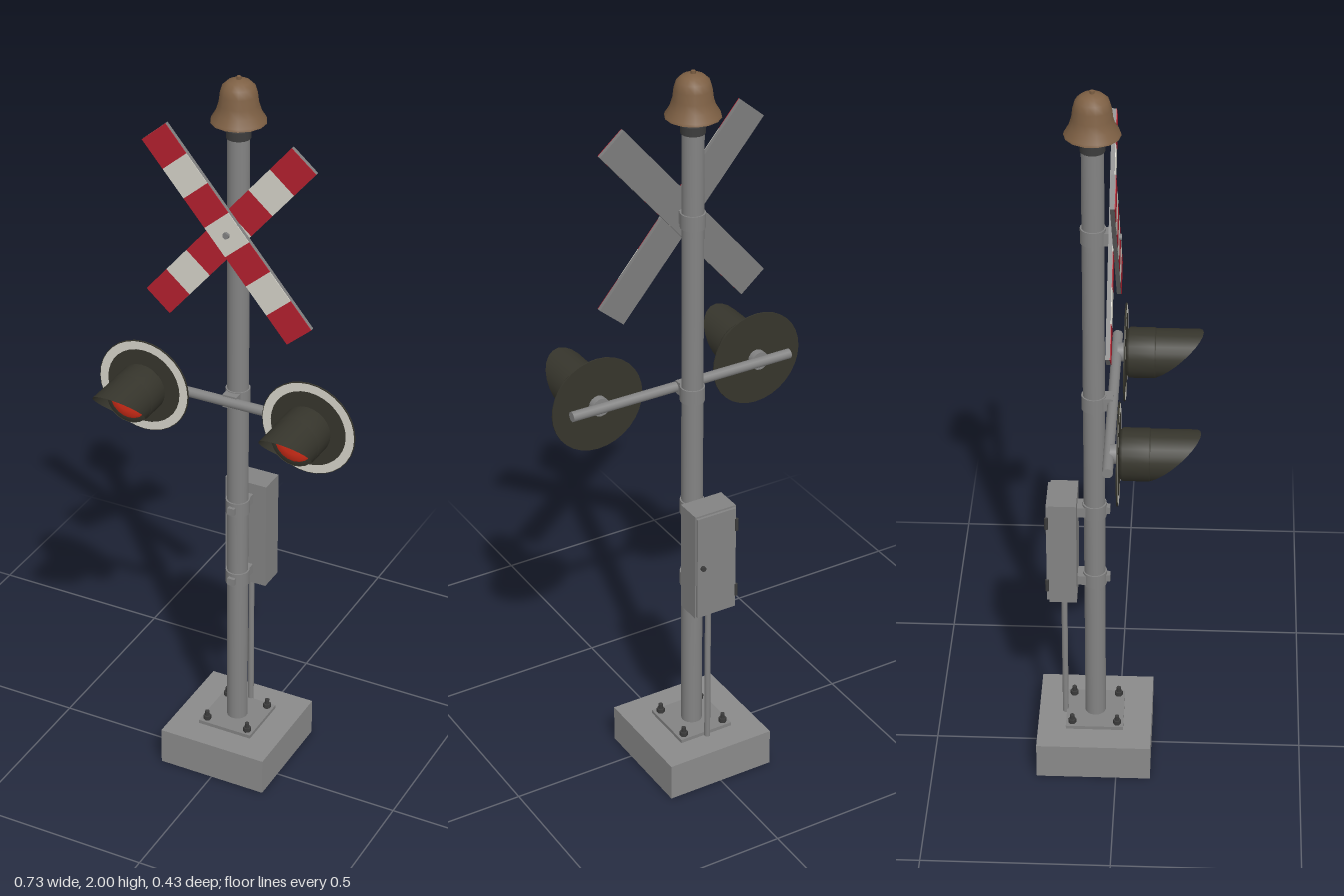
import * as THREE from 'three';

const mat = (name, color, side = THREE.FrontSide) => {
  const m = new THREE.MeshStandardMaterial({ color, side });
  m.name = name;
  return m;
};

export function createModel() {
  const root = new THREE.Group();
  root.name = 'railwayCrossingSignal';
  const steel = mat('steel', 0x838383);
  const concrete = mat('concrete', 0x8a8a8a, THREE.DoubleSide);
  const boardBack = mat('boardGrey', 0x7c7c7c);
  const white = mat('whitePaint', 0xd6d4ca);
  const red = mat('redPaint', 0xb4202f);
  const black = mat('blackPaint', 0x36352c, THREE.DoubleSide);
  const lensRed = mat('lensRed', 0xe0301a);
  const brass = mat('brass', 0x7e6044, THREE.DoubleSide);
  const dark = mat('darkSteel', 0x3c3c3c);
  const PZ = -0.061; // pole axis

  const add = (name, geo, material, x = 0, y = 0, z = 0, parent = root) => {
    const m = new THREE.Mesh(geo, material);
    m.name = name;
    m.position.set(x, y, z);
    parent.add(m);
    return m;
  };
  const box = (w, h, d) => new THREE.BoxGeometry(w, h, d);
  const cyl = (r, h, n = 20) => new THREE.CylinderGeometry(r, r, h, n);
  const cylX = (r, h, n) => cyl(r, h, n).rotateZ(Math.PI / 2);
  const cylZ = (r, h, n) => cyl(r, h, n).rotateX(Math.PI / 2);
  const lathe = (pts, n) => new THREE.LatheGeometry(pts.map(p => new THREE.Vector2(...p)), n);

  // Foundation: block open underneath (bottom face left out)
  const block = box(0.308, 0.105, 0.308);
  const idx = Array.from(block.index.array);
  idx.splice(18, 6);
  block.setIndex(idx);
  block.clearGroups();
  add('foundation', block, concrete, 0, 0.0525, PZ);

  // Foot plate and anchor bolts
  add('footPlate', box(0.156, 0.01, 0.156), steel, 0, 0.11, PZ);
  for (const sx of [-1, 1]) for (const sz of [-1, 1]) {
    add('anchorNut', cyl(0.011, 0.012, 6), dark, sx * 0.061, 0.121, PZ + sz * 0.061);
    add('anchorBolt', cyl(0.006, 0.025, 8), dark, sx * 0.061, 0.1285, PZ + sz * 0.061);
  }

  // Pole, clamps and cap
  add('pole', cyl(0.028, 1.73, 24), steel, 0, 0.98, PZ);
  for (const y of [0.57, 0.79, 1.125, 1.61])
    add('poleClamp', cyl(0.032, 0.04, 24), steel, 0, y, PZ);
  add('poleCap', cyl(0.031, 0.022, 20), dark, 0, 1.852, PZ);

  // Bell with stem and clapper
  add('bellStem', cyl(0.008, 0.1, 10), dark, 0, 1.905, PZ);
  add('bellClapper', new THREE.SphereGeometry(0.014, 12, 8), dark, 0, 1.895, PZ);
  add('bell', lathe([[0.07, 1.884], [0.068, 1.89], [0.057, 1.908], [0.05, 1.93],
    [0.047, 1.955], [0.041, 1.975], [0.028, 1.987], [0.012, 1.992], [0, 1.993]], 14),
    brass, 0, 0, PZ);
  add('bellKnob', cyl(0.006, 0.012, 6), brass, 0, 1.994, PZ);

  // Crossed boards with seven painted stripes each
  const STRIPE = 0.0882;
  for (const [side, z] of [[1, -0.004], [-1, -0.016]]) {
    const board = new THREE.Group();
    board.name = side > 0 ? 'frontCrossBoard' : 'rearCrossBoard';
    board.position.set(0, 1.605, z);
    board.rotation.z = side * 0.705;
    root.add(board);
    add('boardPanel', box(0.086, STRIPE * 7, 0.011), boardBack, 0, 0, 0, board);
    for (let i = -3; i <= 3; i++)
      add('boardStripe', box(0.086, STRIPE, 0.002), i % 2 ? red : white, 0, i * STRIPE, 0.006, board);
  }
  add('boardBracket', box(0.035, 0.035, 0.025), steel, 0, 1.605, -0.03);
  add('boardBolt', cylZ(0.009, 0.008, 6), steel, 0, 1.605, 0.006);

  // Cross arm for the lamps
  add('crossArm', cylX(0.0135, 0.64, 16), steel, 0, 1.125, -0.013);
  add('armBracket', box(0.04, 0.036, 0.03), steel, 0, 1.125, -0.027);

  // Lamps: backing disc, housing, sloping visor and lens
  const visorGeometry = () => {
    const n = 24, R = 0.065, g = new THREE.CylinderGeometry(R, R, 1, n, 1, true).rotateX(Math.PI / 2);
    const p = g.attributes.position;
    for (let i = 0; i < p.count; i++) {
      const cut = Math.max(0.094, 0.143 + 1.08 * p.getY(i));
      p.setZ(i, p.getZ(i) > 0 ? cut : 0.09);
    }
    return g;
  };
  for (const sx of [-1, 1]) {
    const lamp = new THREE.Group();
    lamp.name = sx > 0 ? 'leftLamp' : 'rightLamp';
    lamp.position.set(sx * 0.234, 1.125, 0);
    root.add(lamp);
    add('lampMount', cylZ(0.025, 0.02, 16), steel, 0, 0, 0, lamp);
    add('backingDisc', cylZ(0.129, 0.003, 32), black, 0, 0, 0.0105, lamp);
    add('discRim', new THREE.RingGeometry(0.104, 0.127, 32), white, 0, 0, 0.0132, lamp);
    add('lampHousing', lathe([[0, 0.012], [0.058, 0.012], [0.0665, 0.022], [0.0665, 0.086],
      [0.064, 0.093], [0.05, 0.093], [0, 0.09]].reverse(), 24).rotateX(Math.PI / 2), black, 0, 0, 0, lamp);
    add('lampVisor', visorGeometry(), black, 0, 0, 0, lamp);
    add('lampLens', lathe([[0.054, 0.092], [0.046, 0.099], [0.026, 0.105], [0, 0.107]], 20)
      .rotateX(Math.PI / 2), lensRed, 0, 0, 0, lamp);
  }

  // Control box behind the pole, with door, hinges, lock and conduit
  add('controlBox', box(0.12, 0.31, 0.072), steel, 0, 0.68, -0.142);
  add('boxDoor', box(0.114, 0.3, 0.008), steel, 0, 0.68, -0.181);
  for (const y of [0.58, 0.78])
    add('doorHinge', cyl(0.005, 0.035, 8), dark, -0.059, y, -0.184);
  add('doorLock', cylZ(0.007, 0.01, 10), dark, 0.042, 0.68, -0.188);
  for (const y of [0.57, 0.79]) {
    add('boxBracket', box(0.045, 0.028, 0.04), steel, 0, y, -0.09);
    add('clampBolt', box(0.02, 0.02, 0.014), steel, 0, y, -0.027);
  }
  add('conduit', cyl(0.008, 0.425, 12), steel, 0, 0.3175, -0.143);

  return root;
}
